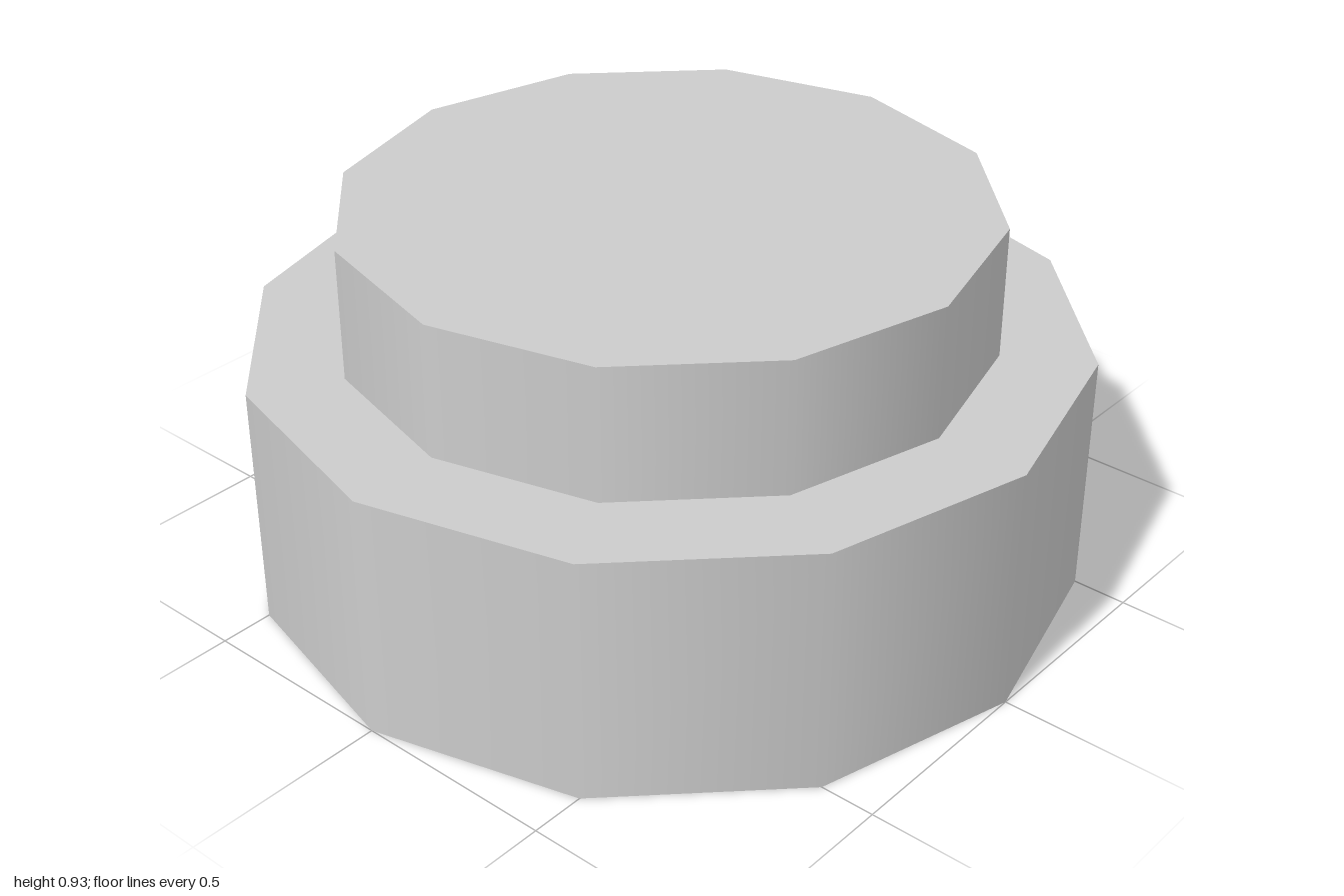
import * as THREE from 'three';

const SIDES = 12;

export function createModel() {
  const group = new THREE.Group();
  const material = new THREE.MeshStandardMaterial({ color: 0xcccccc });

  // Smooth-shaded twelve-sided drum standing on the given height
  function addDrum(name, radius, bottom, top) {
    const geometry = new THREE.CylinderGeometry(radius, radius, top - bottom, SIDES);
    const mesh = new THREE.Mesh(geometry, material);
    mesh.name = name;
    mesh.position.y = (bottom + top) / 2;
    group.add(mesh);
  }

  addDrum('base', 1, 0, 0.605);
  addDrum('raisedTop', 0.775, 0.605, 0.93);

  return group;
}
